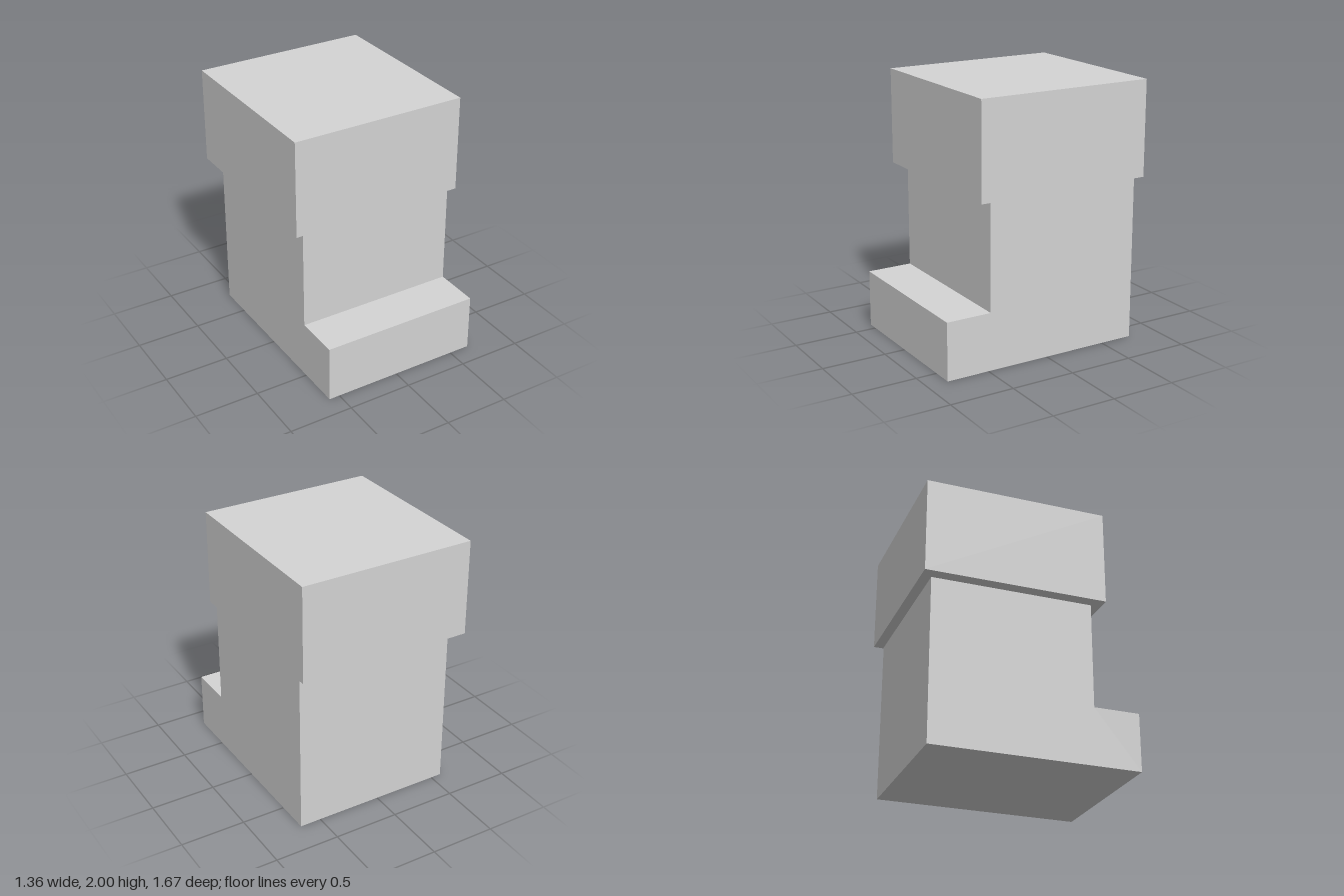
import * as THREE from 'three';

const lightGrey = new THREE.MeshStandardMaterial({ color: 0xd4d4d4 });
lightGrey.name = 'lightGrey';

export function createModel() {
  const model = new THREE.Group();
  model.name = 'steppedBlockFigure';

  // L-shaped body: side profile in (z, y), extruded across the width
  const left = 0.663, right = -0.583;
  const profile = new THREE.Shape([
    [-0.76, 0], [0.835, 0], [0.835, 0.445], [0.48, 0.445], [0.48, 1.263], [-0.76, 1.263],
  ].map(([z, y]) => new THREE.Vector2(-z, y)));
  const bodyGeometry = new THREE.ExtrudeGeometry(profile, { depth: left - right, bevelEnabled: false });
  bodyGeometry.rotateY(Math.PI / 2); // profile x becomes -z, depth becomes +x
  bodyGeometry.translate(right, 0, 0);
  const body = new THREE.Mesh(bodyGeometry, lightGrey);
  body.name = 'bodyWithFrontStep';
  model.add(body);

  // Overhanging top block
  const top = new THREE.Mesh(new THREE.BoxGeometry(1.355, 0.737, 1.395), lightGrey);
  top.position.set(0, 1.6315, -0.1385);
  top.name = 'topBlock';
  model.add(top);

  return model;
}
